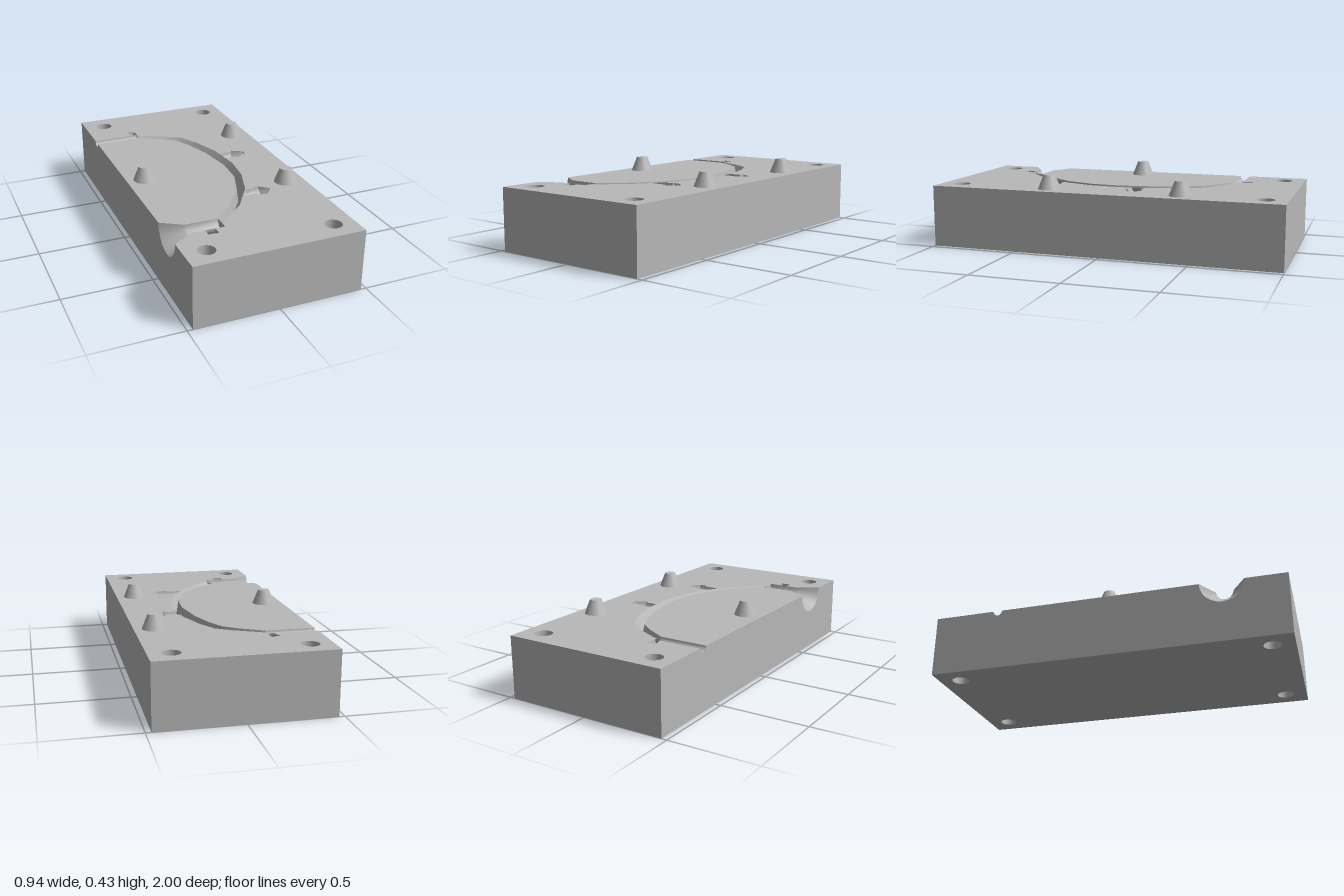
import * as THREE from 'three';
import { toCreasedNormals } from 'three/addons/utils/BufferGeometryUtils.js';

const W = 0.47, L = 1, H = 0.35;
const steel = new THREE.MeshStandardMaterial({ color: 0xb8b8b8, side: THREE.DoubleSide });
steel.name = 'steel grey';

// cross-section profiles: [position across 0..1, depth factor]
const round = Array.from({ length: 13 }, (_, i) => {
  const a = (i / 12) * Math.PI;
  return [(1 - Math.cos(a)) / 2, Math.sin(a)];
});
const vee = [[0, 0], [0.8, 1], [1, 0]];
const box = [[0, 0], [0, 1], [1, 1], [1, 0]];

// open channel sunk below the top face; station = [left [x,z], right [x,z], depth]
function trough(stations, profile) {
  const rows = stations.map(([l, r, depth]) => {
    const d = depth ?? Math.hypot(l[0] - r[0], l[1] - r[1]) / 2;
    return profile.map(([t, k]) => [l[0] + (r[0] - l[0]) * t, H - d * k, l[1] + (r[1] - l[1]) * t]);
  });
  const pos = [];
  for (let i = 0; i + 1 < rows.length; i++)
    for (let j = 0; j + 1 < profile.length; j++) {
      const a = rows[i][j], b = rows[i][j + 1], c = rows[i + 1][j], d = rows[i + 1][j + 1];
      pos.push(...a, ...b, ...c, ...b, ...d, ...c);
    }
  const g = new THREE.BufferGeometry();
  g.setAttribute('position', new THREE.Float32BufferAttribute(pos, 3));
  return toCreasedNormals(g, 0.6);
}

// repeat the last station at zero depth to close the end
const capped = (s) => [...s, [s[s.length - 1][0], s[s.length - 1][1], 0]];
const shapeOf = (pts) => new THREE.Shape(pts.map(([x, y]) => new THREE.Vector2(x, y)));

export function createModel() {
  const model = new THREE.Group();
  const add = (name, geometry, x = 0, y = 0, z = 0) => {
    const m = new THREE.Mesh(geometry, steel);
    m.name = name;
    m.position.set(x, y, z);
    model.add(m);
  };

  const boltHoles = [[-0.35, -0.88], [0.35, -0.88], [-0.35, 0.88], [0.35, 0.88]];
  const punch = (shape) => {
    for (const [x, z] of boltHoles)
      shape.holes.push(new THREE.Path().absarc(x, z, 0.048, 0, Math.PI * 2, true));
    return shape;
  };

  // curved groove edges, back to front
  const outer = [[-0.2, -0.64], [-0.04, -0.56], [0.05, -0.5], [0.108, -0.39], [0.165, -0.22],
    [0.187, -0.02], [0.17, 0.15], [0.11, 0.33], [0, 0.5], [-0.17, 0.655]];
  const inner = [[-0.2, -0.6], [-0.08, -0.53], [0, -0.47], [0.05, -0.37], [0.098, -0.22],
    [0.13, -0.01], [0.12, 0.16], [0.06, 0.33], [-0.05, 0.48], [-0.2, 0.6]];

  // barbed side pockets
  const barbBack = [[[0.1705, -0.17], [0.178, -0.1]], [[0.245, -0.17], [0.25, -0.1]],
    [[0.255, -0.19], [0.25, -0.08]], [[0.32, -0.15], [0.315, -0.12]]];
  const barbFront = [[[0.1, 0.345], [0.058, 0.41]], [[0.155, 0.345], [0.155, 0.41]],
    [[0.16, 0.335], [0.145, 0.43]], [[0.19, 0.335], [0.2, 0.43]], [[0.24, 0.38], [0.235, 0.39]]];
  const barbOutline = (b) => [...b.map((s) => s[0]), ...b.map((s) => s[1]).reverse()];

  // top face in two pieces, either side of the cavity
  const outerEdge = [...outer.slice(0, 5), ...barbOutline(barbBack), ...outer.slice(5, 8),
    ...barbOutline(barbFront), ...outer.slice(8)];
  const outerTop = [[-W, -L], [W, -L], [W, L], [-W, L], [-W, 0.77], [-0.355, 0.695],
    [-0.28, 0.695], [-0.28, 0.745], [-0.225, 0.745], [-0.225, 0.695], [-0.17, 0.695],
    ...outerEdge.reverse(), [-0.195, -0.645], [-0.2, -0.72], [-0.245, -0.71], [-0.23, -0.655], [-W, -0.655]];
  const innerTop = [[-W, -0.6], ...inner, [-0.355, 0.6], [-W, 0.527]];
  const flip = (pts) => pts.map(([x, z]) => [x, -z]);
  const topFace = (shape) => new THREE.ShapeGeometry(shape, 16).rotateX(-Math.PI / 2);
  add('outerTopFace', topFace(punch(shapeOf(flip(outerTop)))), 0, H, 0);
  add('innerTopFace', topFace(shapeOf(flip(innerTop))), 0, H, 0);

  // underside and plain walls
  add('bottomFace', new THREE.ShapeGeometry(
    punch(shapeOf([[-W, -L], [W, -L], [W, L], [-W, L]])), 16).rotateX(Math.PI / 2));
  add('frontWall', new THREE.PlaneGeometry(2 * W, H), 0, H / 2, L);
  add('backWall', new THREE.PlaneGeometry(2 * W, H).rotateY(Math.PI), 0, H / 2, -L);
  add('leftWall', new THREE.PlaneGeometry(2 * L, H).rotateY(Math.PI / 2), W, H / 2, 0);

  // parting wall notched by the funnel and the vent
  const notch = (z1, z0) => round.map(([t, k]) => [z1 + (z0 - z1) * t, H - (k * (z1 - z0)) / 2]);
  add('notchedWall', new THREE.ShapeGeometry(shapeOf([[-L, 0], [L, 0], [L, H],
    ...notch(0.77, 0.527), ...notch(-0.6, -0.655), [-L, H]])).rotateY(-Math.PI / 2), -W, 0, 0);

  // cavity surfaces
  add('curvedGroove', trough(outer.map((o, i) =>
    [o, inner[i], i === 0 ? 0.028 : i === outer.length - 1 ? 0.048 : 0.075]), vee));
  add('ventChannel', trough([[[-W, -0.655], [-W, -0.6]], [[-0.2, -0.655], [-0.2, -0.6]]], round));
  add('funnelRunner', trough(capped([[[-W, 0.527], [-W, 0.77]], [[-0.355, 0.6], [-0.355, 0.695]],
    [[-0.17, 0.6], [-0.17, 0.695]]]), round));
  add('backBarbPocket', trough(capped(barbBack), round));
  add('frontBarbPocket', trough(capped(barbFront), round));
  add('backTabPocket', trough([[[-0.2, -0.72], [-0.245, -0.71], 0],
    [[-0.2, -0.72], [-0.245, -0.71], 0.03], [[-0.195, -0.645], [-0.23, -0.655], 0.04]], box));
  add('frontTabPocket', trough(capped([[[-0.225, 0.69], [-0.28, 0.69], 0.04],
    [[-0.225, 0.745], [-0.28, 0.745], 0.03]]), box));

  // bolt hole walls
  for (const [x, z] of boltHoles)
    add('boltHole', new THREE.CylinderGeometry(0.048, 0.048, H, 32, 1, true), x, H / 2, z);

  // tapered locating pegs
  for (const [x, z] of [[-0.365, 0], [0.362, -0.43], [0.362, 0.325]])
    add('locatingPeg', new THREE.CylinderGeometry(0.032, 0.064, 0.08, 32), x, H + 0.04, z);

  return model;
}
